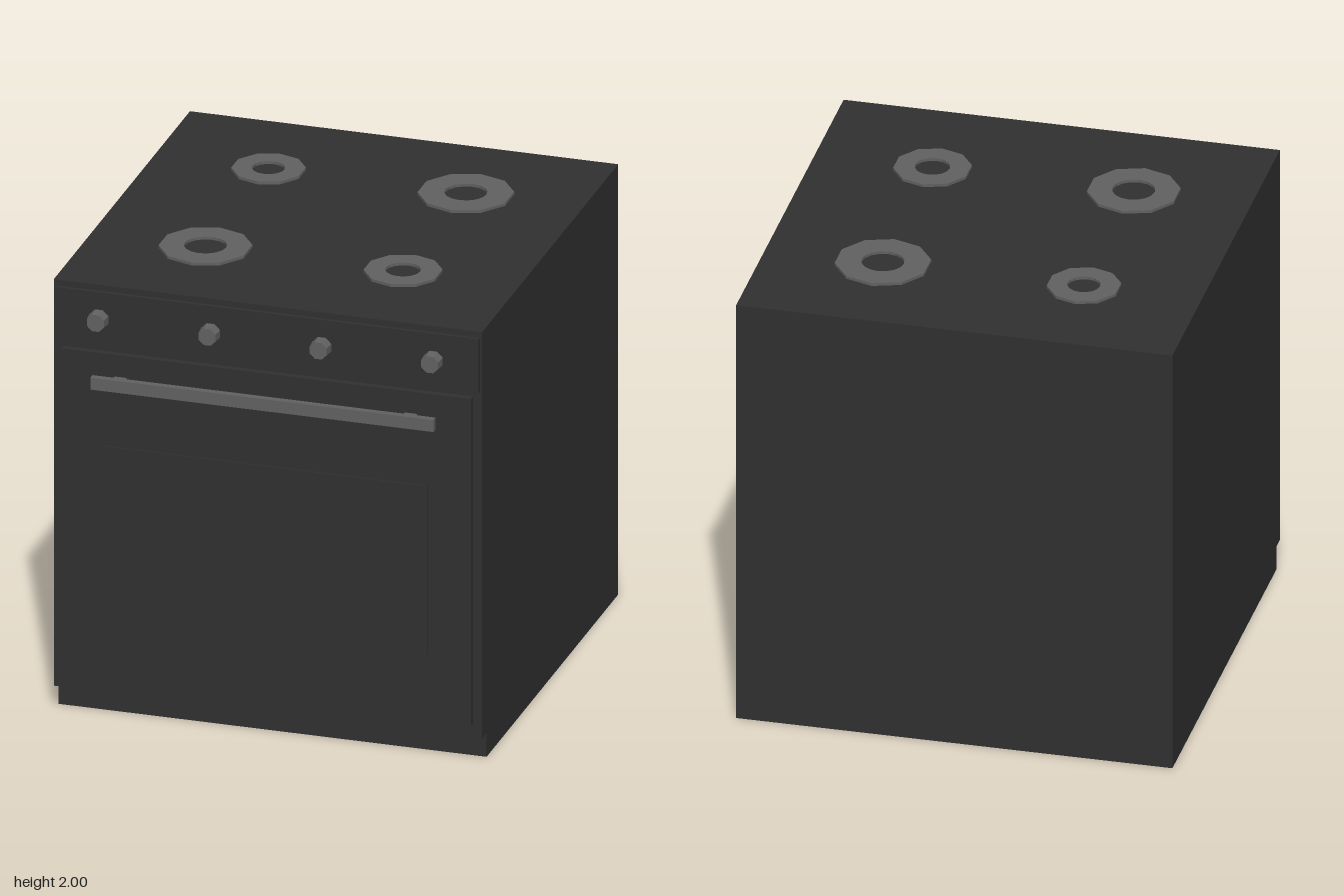
import * as THREE from 'three';

export function createModel() {
  const stove = new THREE.Group();
  stove.name = 'stove';

  const enamel = new THREE.MeshStandardMaterial({ color: 0x303030 });
  enamel.name = 'dark enamel';
  const metal = new THREE.MeshStandardMaterial({ color: 0x616161 });
  metal.name = 'grey metal';

  const add = (name, geometry, material) => {
    const mesh = new THREE.Mesh(geometry, material);
    mesh.name = name;
    stove.add(mesh);
    return mesh;
  };
  // Box given by its limits on each axis
  const box = (name, material, [x0, x1], [y0, y1], [z0, z1]) =>
    add(name, new THREE.BoxGeometry(x1 - x0, y1 - y0, z1 - z0), material)
      .position.set((x0 + x1) / 2, (y0 + y1) / 2, (z0 + z1) / 2);

  // Cabinet, standing on a thin-walled plinth that is open underneath
  const W = 0.955, base = 0.11, wall = 0.004;
  box('cabinet', enamel, [-W, W], [base, 1.987], [-1, 0.917]);
  box('plinthFront', enamel, [-W, W], [0, base], [0.853 - wall, 0.853]);
  box('plinthBack', enamel, [-W, W], [0, base], [-1, -1 + wall]);
  box('plinthRight', enamel, [-W, -W + wall], [0, base], [-1 + wall, 0.853 - wall]);
  box('plinthLeft', enamel, [W - wall, W], [0, base], [-1 + wall, 0.853 - wall]);

  // Control panel, oven door and its window
  box('controlPanel', enamel, [-0.945, 0.945], [1.71, 1.96], [0.917, 0.935]);
  box('ovenDoor', enamel, [-0.915, 0.915], [0.175, 1.685], [0.917, 0.945]);
  box('doorWindow', enamel, [-0.72, 0.72], [0.475, 1.26], [0.945, 0.952]);

  // Door handle with two mounts
  box('handleBar', metal, [-0.765, 0.765], [1.535, 1.59], [0.97, 1]);
  for (const x of [-0.647, 0.647]) {
    box('handleMount', metal, [x - 0.028, x + 0.028], [1.54, 1.585], [0.945, 0.97]);
  }

  // Tapered eight-sided knobs
  const knobGeometry = new THREE.CylinderGeometry(0.041, 0.046, 0.05, 8)
    .rotateY(Math.PI / 8).rotateX(Math.PI / 2).toNonIndexed();
  knobGeometry.computeVertexNormals();
  for (const x of [-0.748, -0.25, 0.246, 0.743]) {
    add('knob', knobGeometry, metal).position.set(x, 1.837, 0.96);
  }

  // Ten-sided hotplate rings with a corner pointing to the back
  const hotplate = (x, z, outer, inner) => {
    const ring = (r, n) => Array.from({ length: n }, (_, i) => {
      const a = Math.PI / 2 + (i / n) * Math.PI * 2;
      return new THREE.Vector2(r * Math.cos(a), r * Math.sin(a));
    });
    const shape = new THREE.Shape(ring(outer, 10));
    shape.holes.push(new THREE.Path(ring(inner, 16)));
    const geometry = new THREE.ExtrudeGeometry(shape, { depth: 0.013, bevelEnabled: false });
    add('hotplate', geometry.rotateX(-Math.PI / 2), metal).position.set(x, 1.987, z);
  };
  hotplate(-0.442, -0.487, 0.159, 0.071);
  hotplate(0.438, -0.487, 0.206, 0.092);
  hotplate(-0.443, 0.397, 0.2, 0.092);
  hotplate(0.438, 0.397, 0.168, 0.076);

  return stove;
}
